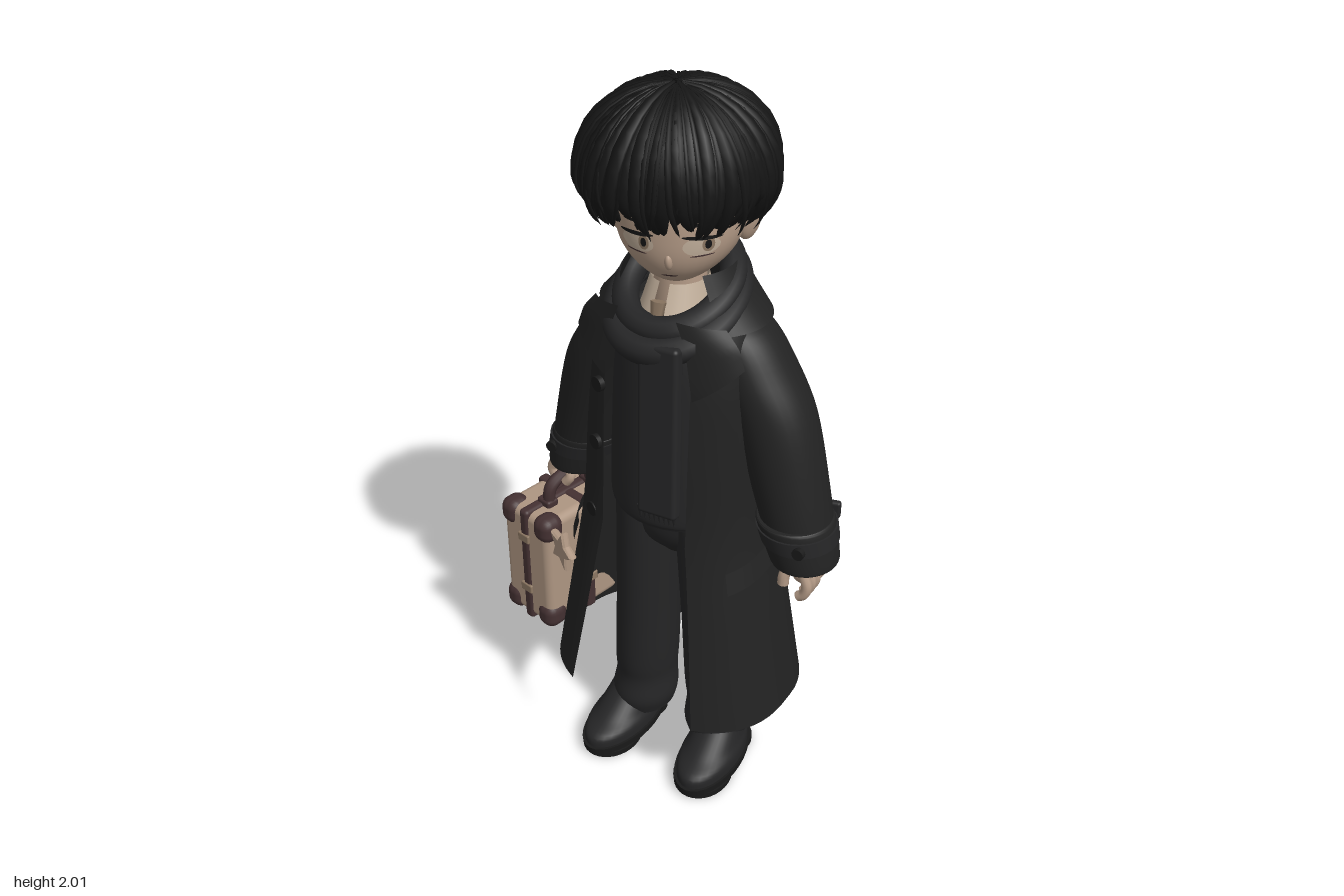
import * as THREE from 'three';
import { mergeGeometries } from 'three/addons/utils/BufferGeometryUtils.js';
import { RoundedBoxGeometry } from 'three/addons/geometries/RoundedBoxGeometry.js';

const V = (x, y, z) => new THREE.Vector3(x, y, z);
const mat = (name, color, side = THREE.FrontSide) => {
  const m = new THREE.MeshStandardMaterial({ color, side });
  m.name = name;
  return m;
};
let seed = 7;
const rand = () => (seed = (seed * 16807) % 2147483647) / 2147483647;

// Surface through rows of points (rows run upwards, points counterclockwise from above)
function skinRows(rows, closed) {
  const n = rows[0].length, pos = rows.flat().flatMap(p => [p.x, p.y, p.z]), idx = [];
  for (let i = 0; i < rows.length - 1; i++)
    for (let j = 0; j < (closed ? n : n - 1); j++) {
      const k = (j + 1) % n, a = i * n + j, b = i * n + k;
      idx.push(a, b, a + n, b, b + n, a + n);
    }
  const g = new THREE.BufferGeometry();
  g.setAttribute('position', new THREE.Float32BufferAttribute(pos, 3));
  g.setIndex(idx);
  g.computeVertexNormals();
  return g;
}

// Horizontal sections [y, cx, cz, rx, rz]; span limits the arc for open pieces, depth shapes z
function loft(specs, span = null, depth = Math.cos, n = 32) {
  const mid = new THREE.CatmullRomCurve3(specs.map(s => V(s[1], s[0], s[2])), false, 'catmullrom');
  const rad = new THREE.CatmullRomCurve3(specs.map(s => V(s[3], 0, s[4])), false, 'catmullrom');
  const rows = [], steps = (specs.length - 1) * 5;
  for (let i = 0; i <= steps; i++) {
    const c = mid.getPoint(i / steps), r = rad.getPoint(i / steps);
    const [a0, a1] = span ? span(c, r) : [0, Math.PI * 2];
    const row = [];
    for (let j = 0; j < n + (span ? 1 : 0); j++) {
      const a = a0 + (a1 - a0) * j / n;
      row.push(V(c.x + r.x * Math.sin(a), c.y, c.z + r.z * depth(a)));
    }
    rows.push(row);
  }
  if (!span) {
    const dot = c => Array(n).fill(V(c.x, c.y, c.z)), end = rows.length - 1;
    rows.unshift(dot(mid.getPoint(0)), rows[0].slice());
    rows.push(rows[end + 2].slice(), dot(mid.getPoint(1)));
  }
  return skinRows(rows, !span);
}

// Coat sections: flatter and fuller in front, round at the back
const coatDepth = a => Math.cos(a) > 0 ? 1.14 * Math.cos(a) ** 0.65 : Math.cos(a);
const COAT = [[0.29, 0.04, -0.012, 0.345, 0.265], [0.6, 0.04, -0.01, 0.295, 0.228], [0.85, 0.04, -0.007, 0.255, 0.203],
  [1.1, 0.045, 0, 0.24, 0.187], [1.3, 0.05, 0, 0.225, 0.175], [1.42, 0.047, 0, 0.2, 0.152], [1.5, 0.045, 0.01, 0.135, 0.13]];
function coatPoint(a, y, lift) {
  let i = 0;
  while (i < COAT.length - 2 && COAT[i + 1][0] < y) i++;
  const t = (y - COAT[i][0]) / (COAT[i + 1][0] - COAT[i][0]);
  const [, cx, cz, rx, rz] = COAT[i].map((v, k) => v + (COAT[i + 1][k] - v) * t);
  return V(cx + (rx + lift) * Math.sin(a), y, cz + (rz + lift) * coatDepth(a));
}
// Flap lying on the coat: corners [angle, y, lift] bottom-start, bottom-end, top-end, top-start
function coatFlap(c) {
  const rows = [];
  for (let i = 0; i <= 6; i++) {
    const row = [], v = i / 6;
    for (let j = 0; j <= 8; j++) {
      const u = j / 8, mix = k => (c[0][k] * (1 - u) + c[1][k] * u) * (1 - v) + (c[3][k] * (1 - u) + c[2][k] * u) * v;
      row.push(coatPoint(mix(0), mix(1), mix(2)));
    }
    rows.push(row);
  }
  return skinRows(rows, false);
}

// Hair shell: az = direction around the head, t = crown (0) to tip (1)
function hairPoint(az, t, lift = 0, extra = 0) {
  const f = Math.cos(az - 0.25), back = Math.max(0, -f), side = 1 - f * f;
  const drop = 0.058 + 0.037 * side + 0.137 * back + extra, taper = 0.1 + 0.14 * side + 0.26 * back;
  const q = Math.min(1, t / 0.6) * Math.PI / 2, u = Math.max(0, (t - 0.6) / 0.4);
  const r = Math.sin(q) * (1 - taper * u * u), s = 0.045 * (1 - t) ** 2;
  return V(0.028 + s * 0.5 + (0.222 + lift) * r * Math.sin(az), 1.785 + (0.203 + lift) * Math.cos(q) - drop * u,
    0.008 + s + (0.236 + lift) * r * Math.cos(az));
}
function hairLock(az, lift, width, extra, t0, flick) {
  const rows = [], twist = (rand() - 0.5) * 0.45, N = 13, mid = V(0.03, 1.76, 0.01);
  const at = t => hairPoint(az + twist * t * t, t, lift + flick * t ** 4, extra);
  for (let i = 0; i <= N; i++) {
    const s = i / N, t = t0 + (1 - t0) * s, p = at(t);
    const T = at(t + 0.01).sub(at(t - 0.01)).normalize();
    const B = T.clone().cross(p.clone().sub(mid)).normalize(), O = B.clone().cross(T);
    const w = width * Math.max(0.03, Math.min(1, 0.25 + s * 2) * Math.sqrt(1 - s ** 3));
    rows.push([0, 1, 2, 3, 4, 5].map(k => p.clone().addScaledVector(O, Math.cos(k * Math.PI / 3) * w * 0.55)
      .addScaledVector(B, Math.sin(k * Math.PI / 3) * w)));
  }
  return skinRows(rows, true);
}

export function createModel() {
  const root = new THREE.Group();
  const M = {
    coat: mat('coatBlack', 0x222222, THREE.DoubleSide), cloth: mat('clothBlack', 0x252526, THREE.DoubleSide),
    hair: mat('hairBlack', 0x151515, THREE.DoubleSide), sole: mat('soleBlack', 0x1a1a1a),
    skin: mat('skin', 0xb39a86), cream: mat('shirtCream', 0xc0ae9a, THREE.DoubleSide),
    tan: mat('caseTan', 0xae9682), leather: mat('leatherBrown', 0x443132), metal: mat('agedMetal', 0x8d7863),
  };
  const add = (name, geo, m, p = [0, 0, 0], r = [0, 0, 0], parent = root) => {
    const o = new THREE.Mesh(geo, m);
    o.name = name; o.position.set(...p); o.rotation.set(...r);
    parent.add(o);
    return o;
  };
  const tube = (pts, r, closed = false, seg = 40) =>
    new THREE.TubeGeometry(new THREE.CatmullRomCurve3(pts.map(p => V(...p)), closed), seg, r, 10, closed);

  // Coat halves with front opening and back vent
  const vent = c => 0.09 * Math.max(0, Math.min(1, (0.78 - c.y) / 0.49));
  const edge = (c, r, x) => Math.asin(Math.max(-0.95, Math.min(0.95, (x - c.x) / r.x)));
  const low = c => Math.max(0, (0.85 - c.y) / 0.56);
  add('coatRightHalf', loft(COAT, (c, r) => [-Math.PI + vent(c), edge(c, r, -0.08 - 0.09 * low(c))], coatDepth), M.coat);
  add('coatLeftHalf', loft(COAT, (c, r) => [edge(c, r, 0.165 + 0.055 * low(c)), Math.PI - vent(c)], coatDepth), M.coat);
  add('coatCollar', loft([[1.43, 0.045, 0, 0.225, 0.172], [1.49, 0.045, 0, 0.175, 0.158], [1.565, 0.045, 0.005, 0.13, 0.135]],
    () => [0.85, Math.PI * 2 - 0.85]), M.coat);
  for (const s of [-1, 1]) {
    const flap = (name, c) => add(name, coatFlap(c.map(([a, y, l]) => [a * s, y, l])), M.coat);
    flap('lapel', [[0.55, 1.28, 0.008], [1.15, 1.37, 0.045], [1.1, 1.46, 0.035], [0.45, 1.48, 0.03]]);
    flap('pocketFlap', [[0.95, 0.72, 0.014], [1.6, 0.75, 0.014], [1.6, 0.81, 0.008], [0.95, 0.78, 0.008]]);
  }
  for (const [x, y] of [[-0.097, 1.245], [-0.105, 1.075], [-0.125, 0.855]]) {
    const z = coatPoint(Math.asin((x - 0.045) / 0.24), y, 0.006).z;
    add('coatButton', new THREE.CylinderGeometry(0.02, 0.02, 0.014, 20), M.sole, [x, y, z], [Math.PI / 2, 0, 0.35]);
  }

  // Sweater and trousers
  add('sweater', loft([[0.86, 0.045, 0, 0.19, 0.18], [0.9, 0.045, 0, 0.195, 0.188], [1.1, 0.045, 0, 0.19, 0.18],
    [1.32, 0.045, 0, 0.175, 0.165], [1.44, 0.045, 0.02, 0.11, 0.12]]), M.cloth);
  add('hips', loft([[0.7, 0.042, 0, 0.05, 0.06], [0.78, 0.042, 0, 0.15, 0.122], [0.92, 0.042, 0, 0.18, 0.135]]), M.cloth);
  for (const s of [-1, 1]) {
    const x = y => 0.042 + s * (0.127 - 0.035 * y / 0.8);
    add('trouserLeg', loft([[0.08, x(0.08), 0, 0.082, 0.098], [0.13, x(0.13), 0.005, 0.092, 0.105],
      [0.2, x(0.2), 0, 0.085, 0.099], [0.28, x(0.28), 0.003, 0.087, 0.104], [0.5, x(0.5), 0.005, 0.086, 0.11],
      [0.85, x(0.85), 0, 0.088, 0.135]]), M.cloth);
    // Shoes
    const shoe = new THREE.Group();
    shoe.name = s < 0 ? 'rightShoe' : 'leftShoe';
    shoe.position.set(0.038 + s * 0.145, 0, 0); shoe.rotation.y = s * 0.06;
    root.add(shoe);
    const sub = (name, geo, m) => add(name, geo, m, [0, 0, 0], [0, 0, 0], shoe);
    sub('sole', loft([[0.015, 0, 0.075, 0.086, 0.17], [0.038, 0, 0.075, 0.088, 0.173]]), M.sole);
    sub('frontTread', loft([[0, 0, 0.135, 0.08, 0.1], [0.018, 0, 0.135, 0.082, 0.1]]), M.sole);
    sub('heel', loft([[0, 0, -0.03, 0.07, 0.065], [0.022, 0, -0.03, 0.07, 0.066]]), M.sole);
    sub('shoeUpper', loft([[0.03, 0, 0.075, 0.082, 0.165], [0.065, 0, 0.073, 0.08, 0.16], [0.09, 0, 0.05, 0.07, 0.128],
      [0.125, 0, 0.02, 0.062, 0.095], [0.15, 0, 0, 0.06, 0.08]]), M.cloth);
    for (let i = 0; i < 3; i++)
      sub('lace', tube([[-0.045, 0.08, 0.1 + i * 0.022], [0, 0.108 - i * 0.012, 0.125 + i * 0.022],
        [0.045, 0.08, 0.1 + i * 0.022]], 0.008, false, 10), M.sole);
  }

  // Sleeves, cuffs and cuff straps
  const sleeves = {
    right: [[0.82, -0.318, -0.055, 0.088, 0.088], [1, -0.268, -0.042, 0.098, 0.098], [1.2, -0.205, -0.02, 0.105, 0.105],
      [1.32, -0.145, -0.008, 0.098, 0.105], [1.41, -0.09, 0, 0.085, 0.095], [1.46, -0.05, 0, 0.045, 0.06]],
    left: [[0.82, 0.415, 0.03, 0.085, 0.09], [1, 0.366, 0.022, 0.098, 0.098], [1.2, 0.305, 0.01, 0.105, 0.105],
      [1.32, 0.245, 0.003, 0.098, 0.105], [1.41, 0.19, 0, 0.085, 0.095], [1.46, 0.14, 0, 0.045, 0.06]],
  };
  for (const [name, specs] of Object.entries(sleeves)) {
    const s = name === 'left' ? 1 : -1, [, x, z] = specs[0];
    add(name + 'Sleeve', loft(specs), M.coat);
    add(name + 'Cuff', loft([[0.812, x + s * 0.002, z, 0.084, 0.09], [0.825, x, z, 0.09, 0.096],
      [0.92, x - s * 0.027, z, 0.1, 0.104], [0.935, x - s * 0.032, z, 0.096, 0.1]]), M.coat);
    add(name + 'CuffStrap', loft([[0.875, x - s * 0.014, z, 0.1, 0.106], [0.915, x - s * 0.025, z, 0.104, 0.109]]), M.cloth);
    add(name + 'CuffTab', new RoundedBoxGeometry(0.06, 0.05, 0.02, 2, 0.008), M.cloth, [x + s * 0.015, 0.9, z - 0.107], [0, s * 0.25, 0]);
    add(name + 'CuffButton', new THREE.CylinderGeometry(0.016, 0.016, 0.014, 16), M.sole, [x + s * 0.03, 0.895, z + 0.1], [Math.PI / 2, 0, 0]);
  }

  // Hands
  const palm = (name, p, sc) => add(name, new THREE.SphereGeometry(1, 20, 14), M.skin, p).scale.set(...sc);
  palm('leftPalm', [0.425, 0.795, 0.035], [0.036, 0.055, 0.05]);
  for (let i = 0; i < 4; i++) {
    const z = 0.075 - i * 0.025, d = i === 3 ? 0.015 : 0;
    add('leftFinger', tube([[0.437, 0.79, z], [0.45, 0.755, z + 0.002], [0.443, 0.73 + d, z + 0.003], [0.428, 0.718 + d, z + 0.003]], 0.014, false, 14), M.skin);
  }
  add('leftThumb', tube([[0.405, 0.81, 0.07], [0.39, 0.78, 0.085], [0.388, 0.75, 0.088]], 0.015, false, 12), M.skin);
  palm('rightPalm', [-0.345, 0.8, -0.05], [0.038, 0.042, 0.052]);
  for (let i = 0; i < 4; i++) {
    const z = -0.012 - i * 0.026;
    add('rightFinger', tube([[-0.38, 0.805, z], [-0.392, 0.775, z], [-0.375, 0.75, z], [-0.35, 0.755, z]], 0.015, false, 14), M.skin);
  }
  add('rightThumb', tube([[-0.335, 0.81, -0.01], [-0.32, 0.78, 0.005], [-0.335, 0.757, 0.008]], 0.014, false, 12), M.skin);

  // Suitcase
  const box = new THREE.Group();
  box.name = 'suitcase'; box.position.set(-0.38, 0.495, -0.05); box.rotation.y = -0.23;
  root.add(box);
  const part = (name, w, h, d, r, m, p = [0, 0, 0]) => add(name, new RoundedBoxGeometry(w, h, d, 3, r), m, p, [0, 0, 0], box);
  part('caseBody', 0.19, 0.37, 0.316, 0.025, M.tan);
  part('caseSeamBand', 0.034, 0.386, 0.328, 0.012, M.leather);
  part('caseStrap', 0.2, 0.38, 0.034, 0.01, M.leather);
  for (const sx of [-1, 1]) for (const sz of [-1, 1]) for (const sy of [-1, 1])
    part('caseCorner', 0.07, 0.08, 0.076, 0.03, M.leather, [sx * 0.067, sy * 0.153, sz * 0.129]);
  for (const s of [-1, 1]) for (const y of [-0.08, 0.1]) {
    part('seamBuckle', 0.044, 0.028, 0.01, 0.004, M.metal, [0, y, s * 0.163]);
    part('strapBuckle', 0.01, 0.028, 0.044, 0.004, M.metal, [s * 0.099, y, 0]);
  }
  add('caseHandle', tube([[0.02, 0.185, -0.08], [0.022, 0.24, -0.072], [0.025, 0.265, -0.03], [0.025, 0.265, 0.03],
    [0.022, 0.24, 0.072], [0.02, 0.185, 0.08]], 0.018), M.leather, [0, 0, 0], [0, 0, 0], box);
  for (const s of [-1, 1]) part('handleMount', 0.05, 0.025, 0.04, 0.008, M.leather, [0.015, 0.193, s * 0.08]);

  // Star charm
  const star = new THREE.Shape();
  for (let i = 0; i < 10; i++) {
    const r = i % 2 ? 0.028 : 0.058, a = i * Math.PI / 5 + 0.2;
    star[i ? 'lineTo' : 'moveTo'](r * Math.sin(a), r * Math.cos(a));
  }
  add('starCharm', new THREE.ExtrudeGeometry(star, { depth: 0.01, bevelSize: 0.004, bevelThickness: 0.006, bevelSegments: 1 }),
    M.tan, [-0.225, 0.68, 0.18], [0, -0.5, 0]);

  // Scarf loops, dipping in front, and hanging tail
  const loop = (y, tilt, rx, rz, cz) => Array.from({ length: 14 }, (_, i) => {
    const a = i / 14 * Math.PI * 2;
    return [0.047 + rx * Math.sin(a), y - tilt * Math.cos(a), cz + rz * Math.cos(a)];
  });
  add('scarfLowerLoop', tube(loop(1.465, 0.072, 0.145, 0.158, 0.045), 0.036, true, 60), M.cloth);
  add('scarfUpperLoop', tube(loop(1.503, 0.068, 0.128, 0.135, 0.035), 0.034, true, 60), M.cloth);
  add('scarfTail', new RoundedBoxGeometry(0.11, 0.46, 0.036, 4, 0.012), M.cloth, [0.105, 1.195, 0.226], [-0.09, 0, 0.04]);
  for (let i = 0; i < 8; i++)
    add('scarfFringe', new THREE.ConeGeometry(0.009, 0.045, 6), M.cloth, [0.062 + i * 0.0138, 0.957 + i * 0.001, 0.248], [Math.PI, 0, 0]);

  // Neck, shirt collar and tie knot
  add('neck', new THREE.CylinderGeometry(0.06, 0.07, 0.18, 24), M.skin, [0.05, 1.5, 0.035]);
  add('shirtCollar', loft([[1.42, 0.05, 0.045, 0.1, 0.12], [1.47, 0.05, 0.042, 0.085, 0.098], [1.53, 0.05, 0.037, 0.07, 0.073]],
    () => [0.2, Math.PI * 2 - 0.2]), M.cream);
  add('tieKnot', new THREE.CylinderGeometry(0.02, 0.013, 0.05, 6), M.metal, [0.05, 1.468, 0.142], [-0.3, 0, 0]);

  // Head turned slightly to its left
  const head = new THREE.Group();
  head.name = 'head'; head.position.set(0.053, 1.69, 0.042); head.rotation.y = 0.35;
  root.add(head);
  const R = [0.153, 0.158, 0.158], jaw = y => 1 - 0.42 * Math.max(0, -y) ** 2;
  const skull = new THREE.SphereGeometry(1, 40, 32), sp = skull.attributes.position;
  for (let i = 0; i < sp.count; i++) {
    const y = sp.getY(i), k = Math.sqrt(Math.max(0, 1 - Math.abs(y) ** 3) / Math.max(1e-6, 1 - y * y));
    const z = sp.getZ(i);
    sp.setXYZ(i, sp.getX(i) * k * jaw(y) * R[0], y * R[1], z * k * R[2] * (z < 0 ? jaw(y) : 1));
  }
  skull.computeVertexNormals();
  add('face', skull, M.skin, [0, 0, 0], [0, 0, 0], head);
  const faceZ = (x, y) => R[2] * Math.sqrt(Math.max(0, 1 - Math.abs(y / R[1]) ** 3 - (x / R[0] / jaw(y / R[1])) ** 2));
  const decal = (name, cx, cy, w, h, m, off, tilt = 0) => {
    const g = new THREE.RingGeometry(0.001, 1, 24, 4), p = g.attributes.position;
    for (let i = 0; i < p.count; i++) {
      const x = cx + p.getX(i) * w, y = cy + p.getY(i) * h + p.getX(i) * w * tilt;
      p.setXYZ(i, x, y, faceZ(x, y) + off);
    }
    g.computeVertexNormals();
    add(name, g, m, [0, 0, 0], [0, 0, 0], head);
  };
  for (const s of [-1, 1]) {
    decal('eyeWhite', s * 0.073, -0.02, 0.04, 0.023, M.cream, 0.003);
    decal('iris', s * 0.073 + 0.016, -0.016, 0.013, 0.018, M.metal, 0.005);
    decal('pupil', s * 0.073 + 0.016, -0.015, 0.007, 0.011, M.hair, 0.007);
    decal('lashLine', s * 0.075, 0.003, 0.043, 0.005, M.hair, 0.008, -s * 0.1);
    decal('lowerLash', s * 0.075, -0.043, 0.026, 0.002, M.leather, 0.005);
    decal('eyebrow', s * 0.07, 0.032, 0.04, 0.004, M.hair, 0.004, -s * 0.15);
    const ear = add('ear', new THREE.SphereGeometry(1, 18, 14), M.skin, [s * 0.16, -0.018, -0.025], [0, s * -0.5, s * -0.15], head);
    ear.scale.set(0.02, 0.055, 0.038);
  }
  add('nose', new THREE.SphereGeometry(1, 16, 12), M.skin, [0, -0.062, 0.148], [0.35, 0, 0], head).scale.set(0.01, 0.022, 0.014);
  decal('mouth', 0, -0.1, 0.02, 0.0025, M.leather, 0.003);

  // Hair shell and layered locks
  const shell = [];
  for (let i = 14; i >= 0; i--)
    shell.push(Array.from({ length: 48 }, (_, j) => hairPoint(j / 48 * Math.PI * 2, i / 14, -0.012, -0.025)));
  add('hairShell', skinRows(shell, true), M.hair);
  const locks = [];
  for (const [count, lift, width, t0, flick] of [[56, -0.002, 0.02, 0.08, 0], [40, 0.006, 0.017, 0.02, 0],
    [40, -0.018, 0.02, 0.5, 0], [46, 0.008, 0.008, 0.05, 0.022]])
    for (let i = 0; i < count; i++)
      locks.push(hairLock((i + rand() * 0.7) / count * Math.PI * 2, lift + rand() * 0.01, width * (0.7 + rand() * 0.5),
        rand() * 0.055 - 0.022, t0, flick * rand()));
  add('hairLocks', mergeGeometries(locks), M.hair);
  return root;
}
